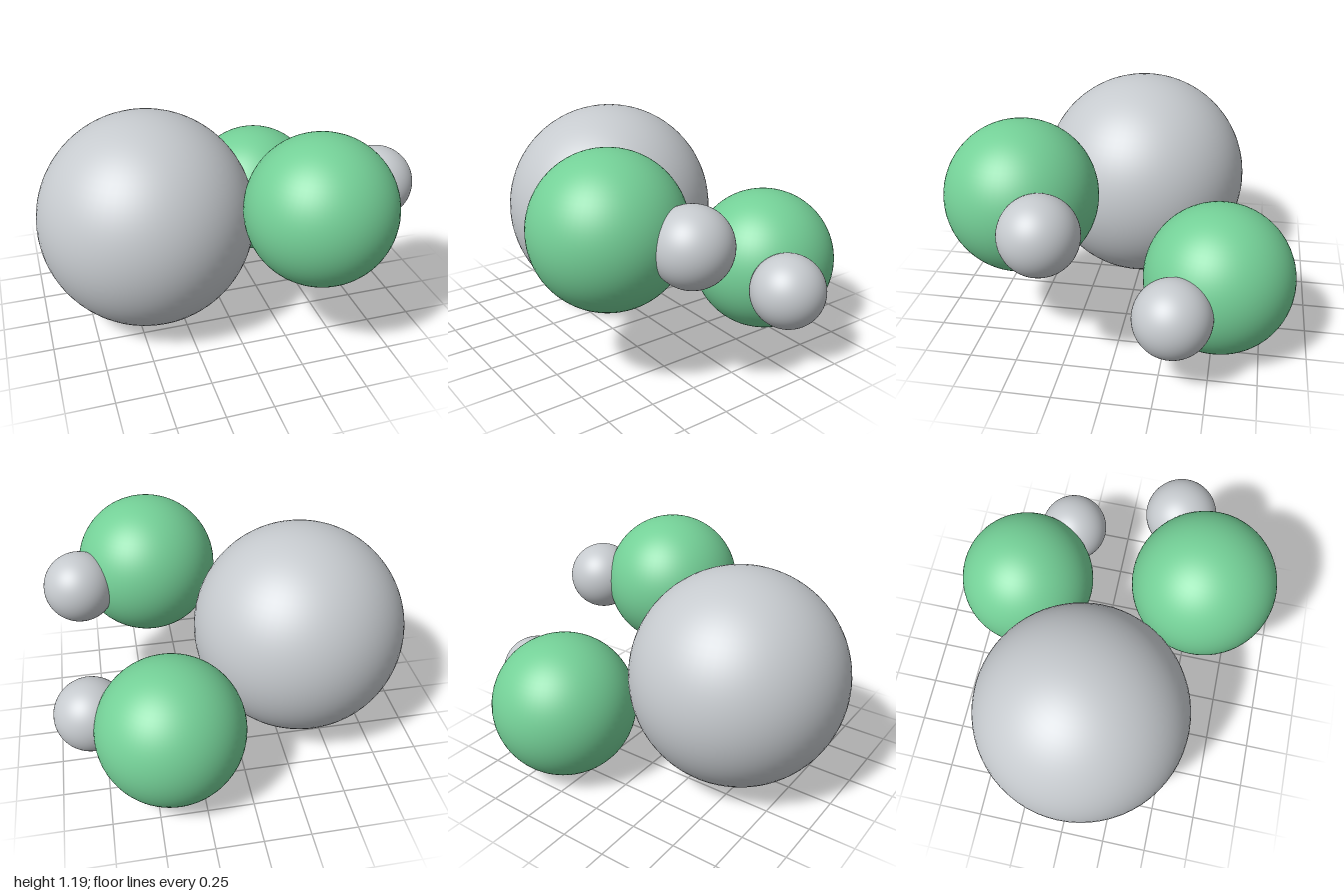
import * as THREE from 'three';

export function createModel() {
  const model = new THREE.Group();
  const grey = new THREE.MeshStandardMaterial({ color: 0xc6cace });
  grey.name = 'light grey';
  const green = new THREE.MeshStandardMaterial({ color: 0x74d097 });
  green.name = 'soft green';

  function ball(name, material, radius, x, y, z) {
    const mesh = new THREE.Mesh(new THREE.SphereGeometry(radius, 64, 40), material);
    mesh.name = name;
    mesh.position.set(x, y, z);
    model.add(mesh);
  }

  // Large central ball
  ball('body', grey, 0.596, -0.404, 0.596, 0);

  // A green ball with a small grey tip on each side, the front pair set higher
  for (const [side, s, y] of [['front', 1, 0.795], ['back', -1, 0.397]]) {
    ball(side + 'Ball', green, 0.397, 0.4, y, s * 0.517);
    ball(side + 'Tip', grey, 0.199, 0.801, y, s * 0.319);
  }
  return model;
}
